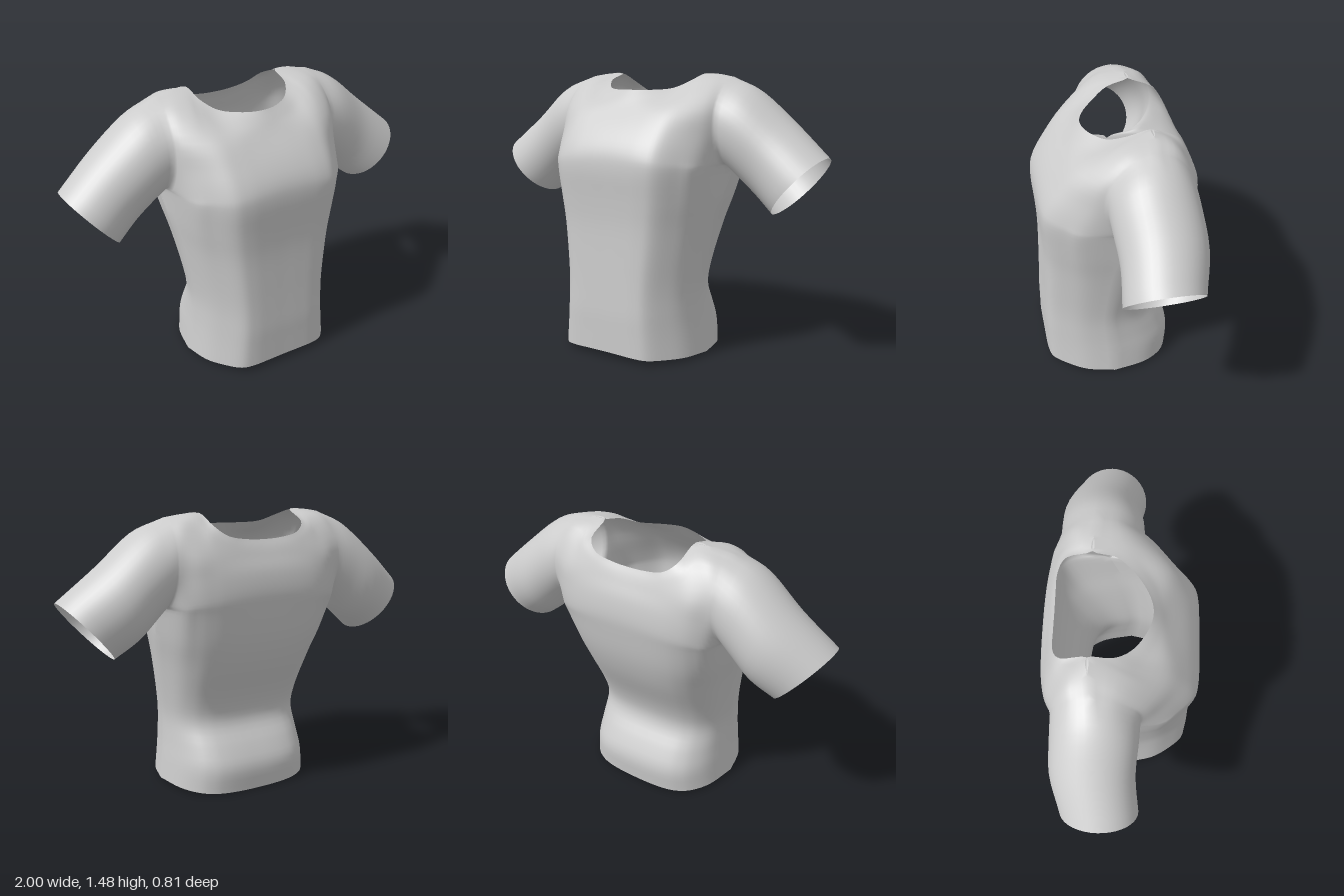
import * as THREE from 'three';
import { mergeVertices } from 'three/addons/utils/BufferGeometryUtils.js';

const V = (x, y, z) => new THREE.Vector3(x, y, z);
const mirror = (p) => V(-p.x, p.y, p.z);
const STEPS = 4; // samples per control interval

// Smooth curve through the points, sampled evenly per interval
function spline(points) {
  const n = (points.length - 1) * STEPS;
  const curve = new THREE.CatmullRomCurve3(points, false, 'catmullrom', 0.5);
  return Array.from({ length: n + 1 }, (_, i) => curve.getPoint(i / n));
}

// Smooth every column of a list of rows
function loft(rows) {
  const columns = rows[0].map((_, u) => spline(rows.map((r) => r[u])));
  return columns[0].map((_, v) => columns.map((c) => c[v]));
}

// Outline of half a section: share of the half width, share of the depth
const FRONT_SHAPE = [[0, 1], [0.24, 1], [0.45, 0.99], [0.62, 0.93], [0.78, 0.71], [0.92, 0.42]];
const BACK_SHAPE = [[0, 1], [0.24, 0.995], [0.45, 0.97], [0.62, 0.91], [0.78, 0.77], [0.92, 0.48]];

// Half row from the centre (x = 0) to an edge point; depth is measured from baseZ
function halfRow(shape, centreY, centreZ, edge, baseZ) {
  const inner = shape.map(([s, c]) =>
    V(edge.x * s, centreY + (edge.y - centreY) * s * s, baseZ + (centreZ - baseZ) * c));
  return [...inner, edge];
}

// Body sections up to the armpit: frontY, backY, half width, frontZ, backZ, seamZ, front baseZ, back baseZ
const SECTIONS = [
  [0.04, 0.008, 0.422, 0.4, -0.3, 0.05, 0.05, 0.05],
  [0.15, 0.14, 0.408, 0.4, -0.307, 0.05, 0.05, 0.05],
  [0.25, 0.25, 0.397, 0.4, -0.26, 0.06, 0.06, 0.06],
  [0.37, 0.37, 0.392, 0.395, -0.193, 0.07, 0.07, 0.07],
  [0.5, 0.5, 0.405, 0.39, -0.215, 0.06, 0.06, 0.05],
  [0.7, 0.7, 0.435, 0.385, -0.31, 0.03, 0.05, 0],
  [0.85, 0.85, 0.463, 0.392, -0.363, -0.02, 0.05, -0.09],
  [1.0, 1.0, 0.485, 0.403, -0.393, -0.08, 0.05, -0.18],
];

// Chest and back rows beside the armhole: centreY, centreZ, edge point, baseZ
const CHEST = [
  [1.1, 0.388, V(0.485, 1.045, 0.03), 0.06],
  [1.2, 0.328, V(0.48, 1.165, 0.1), 0.065],
  [1.31, 0.23, V(0.475, 1.31, 0.09), 0.065],
];
const BACK = [
  [1.1, -0.405, V(0.485, 1.045, -0.23), -0.23],
  [1.2, -0.393, V(0.48, 1.165, -0.315), -0.28],
  [1.275, -0.365, V(0.475, 1.31, -0.315), -0.29],
];

// Rounded shoulder rows just below the neckline, from the centre outwards
const FRONT_YOKE = [V(0, 1.36, 0.188), V(0.115, 1.362, 0.17), V(0.225, 1.375, 0.115),
  V(0.3, 1.41, 0.065), V(0.345, 1.433, 0.035), V(0.41, 1.438, 0.01), V(0.468, 1.425, -0.01)];
const BACK_YOKE = [V(0, 1.32, -0.345), V(0.115, 1.325, -0.345), V(0.22, 1.345, -0.338),
  V(0.295, 1.385, -0.312), V(0.335, 1.435, -0.26), V(0.405, 1.44, -0.25), V(0.468, 1.425, -0.235)];

// Top rows: neckline from the centre, then the shoulder seam
const SHOULDER = [V(0.27, 1.483, -0.15), V(0.36, 1.482, -0.145), V(0.46, 1.467, -0.13)];
const FRONT_NECK = [V(0, 1.4, 0.152), V(0.1, 1.4, 0.125), V(0.2, 1.41, 0.055), V(0.258, 1.45, -0.035)];
const BACK_NECK = [V(0, 1.355, -0.325), V(0.1, 1.36, -0.325), V(0.2, 1.38, -0.32), V(0.26, 1.43, -0.275)];

function panel(front) {
  const shape = front ? FRONT_SHAPE : BACK_SHAPE;
  const lower = SECTIONS.map(([fy, by, w, fz, bz, seam, fBase, bBase]) => {
    const edge = V(w, (fy + by) / 2, seam);
    return front ? halfRow(shape, fy, fz, edge, fBase) : halfRow(shape, by, bz, edge, bBase);
  });
  const upper = (front ? CHEST : BACK).map((r) => halfRow(shape, ...r));
  const top = [...(front ? FRONT_NECK : BACK_NECK), ...SHOULDER];
  const rows = [...lower, ...upper, front ? FRONT_YOKE : BACK_YOKE, top];
  return loft(rows.map((h) => spline([...h.slice(1).reverse().map(mirror), ...h])));
}

// Sleeve rings: lower x, y, upper x, y, frontZ, backZ
const RINGS = [
  [0.555, 0.935, 0.61, 1.4, 0.1, -0.33],
  [0.64, 0.86, 0.8, 1.245, 0.09, -0.33],
  [0.74, 0.782, 1.0, 1.08, 0.11, -0.28],
];

// Sleeve starts on the armhole edge of both panels and runs to the cuff
function sleeve(frontGrid, backGrid) {
  const armpit = (SECTIONS.length - 1) * STEPS;
  const edge = (grid) => grid.slice(armpit).map((row) => row[row.length - 1]);
  const armhole = [...edge(frontGrid), ...edge(backGrid).reverse().slice(1)];
  const n = armhole.length - 1;
  const rings = RINGS.map(([x0, y0, x1, y1, fz, bz]) => armhole.map((_, i) => {
    const a = (i / n) * Math.PI * 2;
    const up = (1 - Math.cos(a)) / 2;
    return V(x0 + (x1 - x0) * up, y0 + (y1 - y0) * up, (fz + bz) / 2 + Math.sin(a) * (fz - bz) / 2);
  }));
  return loft([armhole, ...rings]);
}

export function createModel() {
  const cloth = new THREE.MeshStandardMaterial({ color: 0xcccccc, side: THREE.DoubleSide });
  cloth.name = 'light grey cloth';

  const front = panel(true);
  const back = panel(false);
  const left = sleeve(front, back);
  const right = left.map((row) => row.map(mirror));
  const parts = [
    ['frontPanel', front, false],
    ['backPanel', back, true],
    ['leftSleeve', left, true],
    ['rightSleeve', right, false],
  ];

  // Gather all panels so that normals run smoothly over the seams
  const positions = [];
  const ranges = [];
  for (const [name, grid, flip] of parts) {
    const start = positions.length / 3;
    for (let v = 0; v < grid.length - 1; v++) {
      for (let u = 0; u < grid[0].length - 1; u++) {
        const a = grid[v][u], b = grid[v][u + 1], c = grid[v + 1][u + 1], d = grid[v + 1][u];
        const corners = flip ? [a, c, b, a, d, c] : [a, b, c, a, c, d];
        for (const p of corners) positions.push(p.x, p.y, p.z);
      }
    }
    ranges.push([name, start, positions.length / 3]);
  }
  let cut = new THREE.BufferGeometry();
  cut.setAttribute('position', new THREE.Float32BufferAttribute(positions, 3));
  cut = mergeVertices(cut, 0.00073);
  cut.computeVertexNormals();
  const index = Array.from(cut.index.array);

  // One mesh for each panel
  const shirt = new THREE.Group();
  shirt.name = 'shirt';
  for (const [name, start, end] of ranges) {
    const geometry = cut.clone().setIndex(index.slice(start, end)).toNonIndexed();
    const mesh = new THREE.Mesh(geometry, cloth);
    mesh.name = name;
    shirt.add(mesh);
  }
  return shirt;
}
